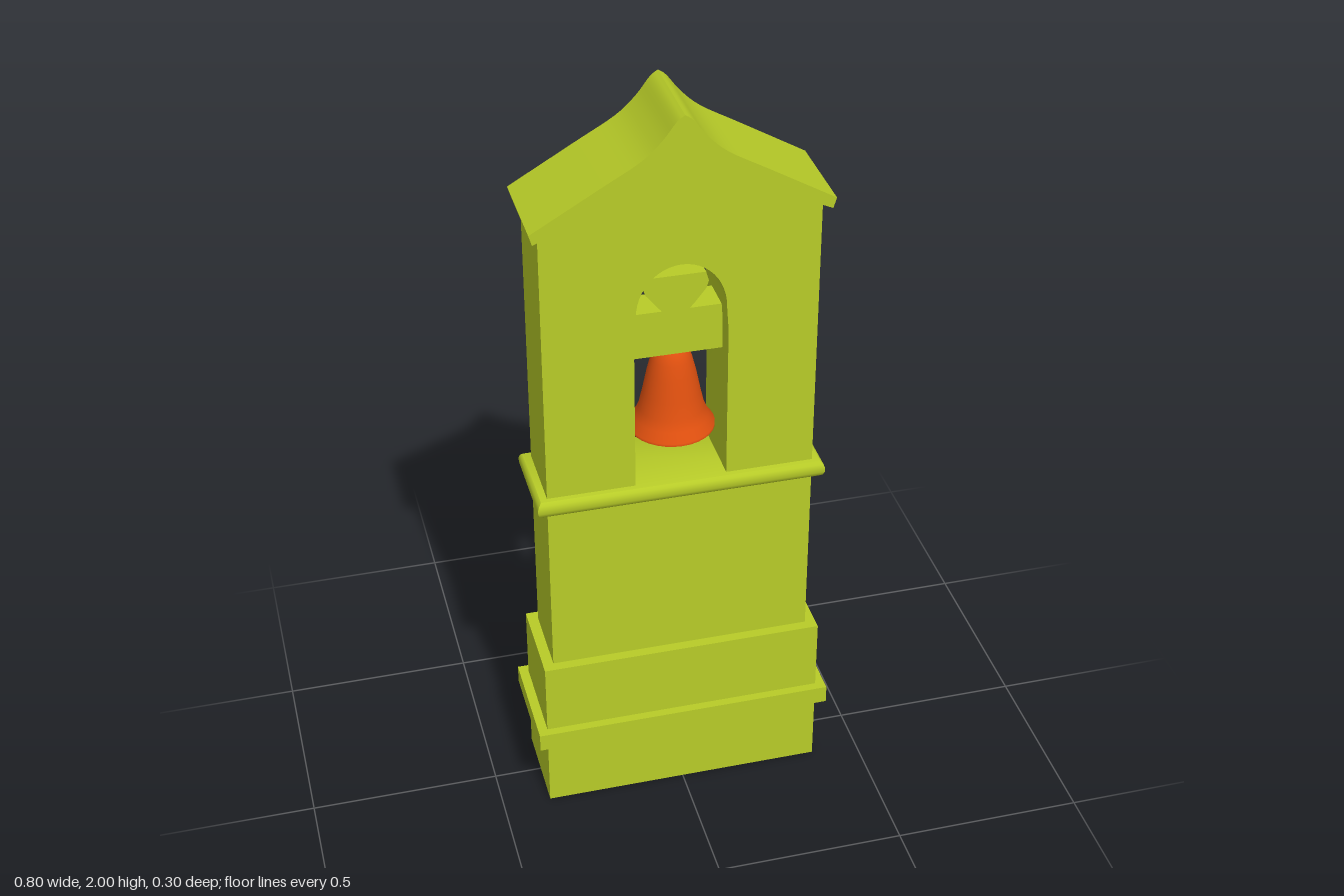
import * as THREE from 'three';
import { toCreasedNormals } from 'three/addons/utils/BufferGeometryUtils.js';
import { ConvexGeometry } from 'three/addons/geometries/ConvexGeometry.js';

const stone = new THREE.MeshStandardMaterial({ color: 0xb8cc28 });
const bronze = new THREE.MeshStandardMaterial({ color: 0xe0500f, side: THREE.DoubleSide });

export function createModel() {
  const group = new THREE.Group();

  const add = (name, geometry, material = stone) => {
    const mesh = new THREE.Mesh(geometry, material);
    mesh.name = name;
    group.add(mesh);
    return mesh;
  };
  // box given by half width, half depth and its bottom and top heights
  const slab = (name, hx, hz, y0, y1) =>
    add(name, new THREE.BoxGeometry(hx * 2, y1 - y0, hz * 2)).position.y = (y0 + y1) / 2;
  // shape in the xy plane, extruded evenly to both sides of z = 0
  const extrude = (name, shape, depth) => {
    const geometry = new THREE.ExtrudeGeometry(shape, { depth, bevelEnabled: false, curveSegments: 12 });
    geometry.translate(0, 0, -depth / 2);
    add(name, toCreasedNormals(geometry, 0.5));
  };
  const vectors = (points) => points.map(([x, y]) => new THREE.Vector2(x, y));
  // right half of a profile, from the ridge outward, smoothed and mirrored
  const mirrored = (points) => {
    const half = new THREE.SplineCurve(vectors(points)).getPoints(20);
    const left = half.slice(1).reverse().map((p) => new THREE.Vector2(-p.x, p.y));
    return [...left, ...half];
  };

  // stepped base
  slab('plinth', 0.373, 0.125, 0, 0.45);
  slab('plinthBand', 0.398, 0.148, 0.2, 0.25);

  // roof outlines, above and below
  const roofTop = mirrored([[0, 2], [0.02, 1.985], [0.055, 1.94], [0.105, 1.895], [0.2, 1.84], [0.37, 1.742]]);
  const roofUnder = mirrored([[0, 1.952], [0.02, 1.937], [0.06, 1.88], [0.105, 1.84], [0.2, 1.79], [0.362, 1.715]]);

  // wall with arched bell opening, its gable following the roof
  slab('lowerWall', 0.345, 0.098, 0.44, 0.97);
  const gable = roofUnder.filter((p) => Math.abs(p.x) < 0.345);
  const wall = new THREE.Shape([
    ...vectors([[0.345, 0.96], [0.345, 1.724]]),
    ...gable.reverse(),
    ...vectors([[-0.345, 1.724], [-0.345, 0.96]]),
  ]);
  const opening = new THREE.Path();
  opening.moveTo(-0.118, 0.97);
  opening.lineTo(0.118, 0.97);
  opening.lineTo(0.118, 1.4);
  opening.absellipse(0, 1.47, 0.113, 0.13, 0, Math.PI, false);
  opening.lineTo(-0.118, 1.4);
  opening.closePath();
  wall.holes.push(opening);
  extrude('belfryWall', wall, 0.196);

  // curved roof
  extrude('roof', new THREE.Shape([...roofTop, ...roofUnder.slice().reverse()]), 0.25);

  // rounded string course that forms the sill of the opening
  const levels = [[-0.012, 0.935], [-0.004, 0.942], [0, 0.952], [0, 0.965], [-0.003, 0.974], [-0.01, 0.981]];
  const corners = levels.flatMap(([inset, y]) =>
    [[1, 1], [1, -1], [-1, -1], [-1, 1]].map(([sx, sz]) =>
      new THREE.Vector3(sx * (0.373 + inset), y, sz * (0.122 + inset))));
  add('stringCourse', toCreasedNormals(new ConvexGeometry(corners), 0.8));

  // bell hung from its beam and headstock
  slab('beam', 0.12, 0.045, 1.32, 1.445);
  extrude('headstock', new THREE.Shape(vectors([
    [-0.03, 1.44], [0.03, 1.44], [0.045, 1.456], [0.076, 1.495], [0.082, 1.515], [0.075, 1.54],
    [-0.075, 1.54], [-0.082, 1.515], [-0.076, 1.495], [-0.045, 1.456],
  ])), 0.09);
  add('bell', new THREE.LatheGeometry(vectors([
    [0.11, 1.088], [0.11, 1.095], [0.094, 1.118], [0.083, 1.145], [0.073, 1.19],
    [0.062, 1.245], [0.052, 1.285], [0.042, 1.31], [0.03, 1.323], [0, 1.326],
  ]), 32), bronze);

  return group;
}
